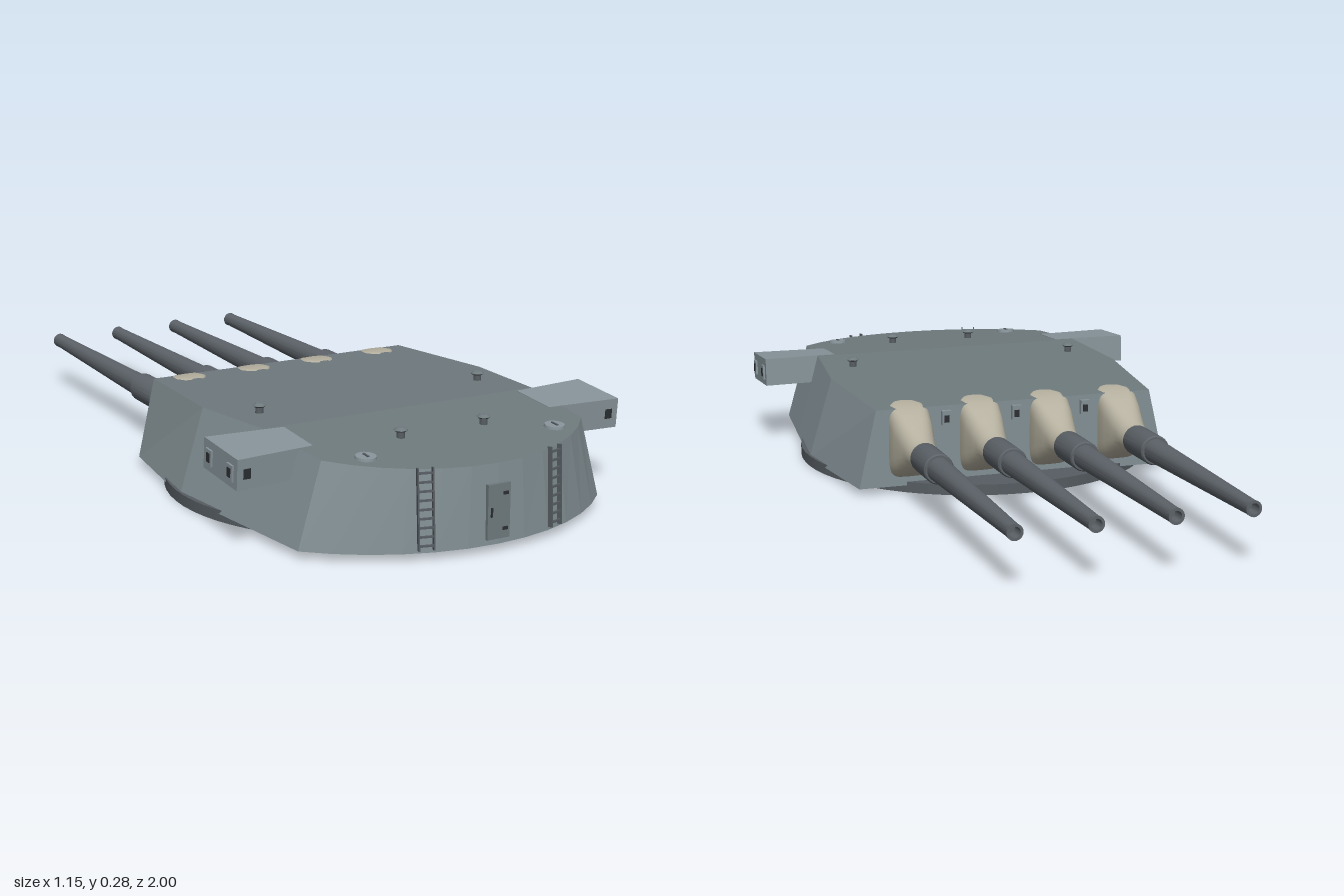
import * as THREE from 'three';
import { toCreasedNormals } from 'three/addons/utils/BufferGeometryUtils.js';

const mat = (color, extra = {}) => new THREE.MeshStandardMaterial({ color, ...extra });
const wallMat = mat(0x849196, { flatShading: true });
const roofMat = mat(0x6f7a7e, { flatShading: true });
const boxMat = mat(0x87949a);
const darkMat = mat(0x565d62);
const gunMat = mat(0x5c6268);
const clothMat = mat(0xb5b09f, { side: THREE.DoubleSide });
const blackMat = mat(0x2c2f32);

const SLOPE = 0.077;
// Roof height: rises to a ridge at z = 0.55, then falls to the rear
const roofY = z => z < 0.55 ? 0.238 + (z + 0.1) * 0.0308 : 0.258 - (z - 0.55) * SLOPE;

function add(parent, name, geometry, material, x = 0, y = 0, z = 0) {
  const mesh = new THREE.Mesh(geometry, material);
  mesh.name = name;
  mesh.position.set(x, y, z);
  parent.add(mesh);
  return mesh;
}
const box = (w, h, d) => new THREE.BoxGeometry(w, h, d);
const cyl = (r1, r2, h, n = 16) => new THREE.CylinderGeometry(r1, r2, h, n);

// Plan outline: straight sides and a curved rear, mirrored in x
function outline(sides, back, heightAt) {
  const half = sides.map(p => [...p]);
  const [cx, cz] = sides[sides.length - 1];
  const sag = back - cz, R = (cx * cx + sag * sag) / (2 * sag), a0 = Math.asin(cx / R);
  for (let i = 1; i < 6; i++) {
    const a = a0 * (1 - i / 6);
    half.push([R * Math.sin(a), back - R + R * Math.cos(a)]);
  }
  const mirrored = half.map(([x, z]) => [-x, z]).reverse();
  return [...half, [0, back], ...mirrored].map(([x, z]) => new THREE.Vector3(x, heightAt(z), z));
}
const fan = pts => pts.slice(2).flatMap((p, i) => [pts[0], pts[i + 1], p]);
function faces(points) {
  const g = new THREE.BufferGeometry().setFromPoints(points);
  g.computeVertexNormals();
  return g;
}

function gunhouse(parent) {
  const low = outline([[0.45, -0.1], [0.505, 0.27], [0.476, 0.55], [0.45, 0.8]], 0.99, () => 0.02);
  const top = outline([[0.4, -0.1], [0.435, 0.27], [0.409, 0.55], [0.387, 0.8]], 0.985, roofY);
  const n = low.length;
  const walls = low.flatMap((a, i) => {
    const j = (i + 1) % n;
    return [a, top[i], low[j], low[j], top[i], top[j]];
  });
  add(parent, 'walls', faces(walls), wallMat);
  add(parent, 'floor', faces(fan(low)), darkMat);
  const front = [...top.slice(0, 3), ...top.slice(-3)].reverse();
  const rear = top.slice(2, n - 2).reverse();
  add(parent, 'roof', faces([...fan(front), ...fan(rear)]), roofMat);
}

// Soft gun cover lofted from sections: z, half width, bottom, top, squareness
function coverGeometry() {
  const sections = [
    [-0.025, 0.02, 0.08, 0.244, 0.3], [-0.035, 0.038, 0.06, 0.245, 0.3],
    [-0.06, 0.055, 0.05, 0.244, 0.3], [-0.1, 0.06, 0.045, 0.24, 0.4],
    [-0.14, 0.056, 0.058, 0.225, 0.6], [-0.18, 0.048, 0.077, 0.202, 0.8],
    [-0.215, 0.042, 0.09, 0.183, 1], [-0.245, 0.04, 0.095, 0.176, 1]];
  const N = 32, pos = [], idx = [];
  const power = (v, e) => Math.sign(v) * Math.abs(v) ** e;
  sections.forEach(([z, w, b, t, e], i) => {
    for (let j = 0; j < N; j++) {
      const a = j / N * Math.PI * 2;
      pos.push(w * power(Math.cos(a), e), (b + t) / 2 + (t - b) / 2 * power(Math.sin(a), e), z);
      if (i === sections.length - 1) continue;
      const p = i * N + j, q = i * N + (j + 1) % N;
      idx.push(p, p + N, q, q, p + N, q + N);
    }
  });
  const g = new THREE.BufferGeometry();
  g.setAttribute('position', new THREE.Float32BufferAttribute(pos, 3));
  g.setIndex(idx);
  g.computeVertexNormals();
  return g;
}

function guns(parent) {
  const profile = [[0.036, -0.06], [0.036, 0], [0.041, 0.01], [0.041, 0.137], [0.038, 0.142],
    [0.033, 0.142], [0.02, 0.74], [0.021, 0.76], [0.014, 0.76], [0.013, 0.72], [0, 0.72]];
  const barrel = toCreasedNormals(
    new THREE.LatheGeometry(profile.map(p => new THREE.Vector2(...p)), 24), 0.5);
  const cover = coverGeometry();
  for (const x of [-0.305, -0.102, 0.102, 0.305]) {
    const gun = new THREE.Group();
    gun.name = 'gun';
    gun.position.x = x;
    add(gun, 'barrel', barrel, gunMat, 0, 0.135, -0.24).rotation.x = -Math.PI / 2 + 0.017;
    add(gun, 'cover', cover, clothMat);
    parent.add(gun);
  }
  // Sight ports between the guns
  for (const x of [-0.203, 0, 0.203]) {
    add(parent, 'sightHood', box(0.026, 0.04, 0.016), wallMat, x, 0.205, -0.106);
    add(parent, 'sightPort', box(0.014, 0.02, 0.004), blackMat, x, 0.203, -0.114);
  }
}

// Rangefinder arm, widening toward its outer end
function rangefinder(parent, s) {
  const arm = new THREE.Group();
  arm.name = 'rangefinder';
  arm.position.set(s * 0.4625, 0.213, 0.63);
  arm.rotation.x = SLOPE;
  const g = box(0.215, 0.08, 0.16), p = g.attributes.position;
  for (let i = 0; i < p.count; i++) p.setZ(i, p.getZ(i) * (1 + s * p.getX(i) * 0.9));
  g.computeVertexNormals();
  add(arm, 'rangefinderBox', g, boxMat);
  for (const z of [-0.055, 0.055]) {
    add(arm, 'lensFrame', box(0.008, 0.042, 0.03), boxMat, s * 0.109, -0.002, z);
    add(arm, 'lens', box(0.004, 0.024, 0.016), blackMat, s * 0.1125, -0.002, z);
  }
  add(arm, 'rearLens', box(0.02, 0.026, 0.004), blackMat, s * 0.08, 0, 0.086);
  parent.add(arm);
}

function ladder(parent, s) {
  const l = new THREE.Group();
  l.name = 'ladder';
  l.position.set(s * 0.19, 0.13, 0.959);
  l.rotation.set(-0.06, s * 0.3, 0);
  for (const x of [-0.019, 0.019]) add(l, 'ladderRail', box(0.004, 0.205, 0.012), darkMat, x);
  for (let i = 0; i < 9; i++) add(l, 'ladderRung', box(0.038, 0.005, 0.006), darkMat, 0, -0.09 + i * 0.0225, 0.003);
  parent.add(l);
}

// Mushroom ventilator
function ventilator(parent, x, z) {
  const y = roofY(z);
  add(parent, 'ventStalk', cyl(0.01, 0.011, 0.03), darkMat, x, y + 0.007, z);
  add(parent, 'ventCap', cyl(0.01, 0.018, 0.007), roofMat, x, y + 0.023, z);
  add(parent, 'ventRim', cyl(0.018, 0.014, 0.004), darkMat, x, y + 0.018, z);
}

export function createModel() {
  const model = new THREE.Group();
  model.name = 'gunTurret';
  add(model, 'baseRing', cyl(0.51, 0.51, 0.03, 64), darkMat, 0, 0.015, 0.3);
  gunhouse(model);
  guns(model);
  for (const s of [-1, 1]) {
    rangefinder(model, s);
    ladder(model, s);
    ventilator(model, s * 0.338, 0.4);
    ventilator(model, s * 0.124, 0.74);
    // Roof hatch with handle
    const hatch = add(model, 'roofHatch', cyl(0.026, 0.028, 0.01, 20), boxMat, s * 0.28, roofY(0.83) + 0.002, 0.83);
    hatch.rotation.x = SLOPE;
    add(hatch, 'hatchHandle', box(0.005, 0.004, 0.024), darkMat, 0, 0.006, 0);
  }
  // Rear door with hinges and handle
  const door = add(model, 'door', box(0.065, 0.14, 0.014), roofMat, -0.002, 0.105, 0.988);
  for (const y of [-0.045, 0.045]) add(door, 'doorHinge', box(0.014, 0.008, 0.006), blackMat, 0.018, y, 0.007);
  add(door, 'doorHandle', box(0.005, 0.024, 0.006), blackMat, -0.022, 0, 0.007);
  return model;
}
